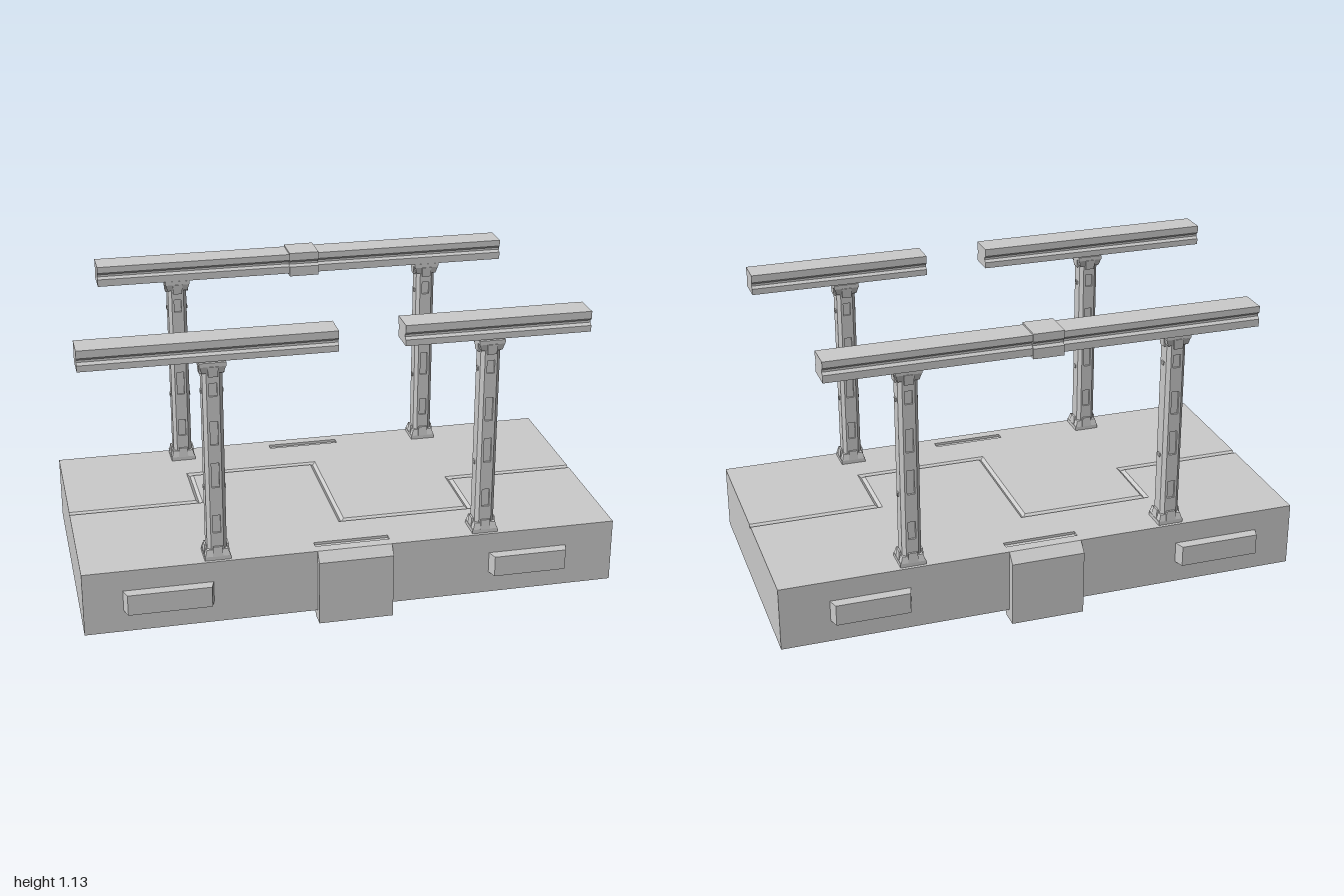
import * as THREE from 'three';

const mat = new THREE.MeshStandardMaterial({ color: 0xcccccc, flatShading: true, side: THREE.DoubleSide });
const V = (x, y) => new THREE.Vector2(x, y);

function add(parent, name, geo, x = 0, y = 0, z = 0) {
  const m = new THREE.Mesh(geo, mat);
  m.name = name;
  m.position.set(x, y, z);
  parent.add(m);
  return m;
}

const extrude = (shape, depth) => new THREE.ExtrudeGeometry(shape, { depth, bevelEnabled: false });

// plan outline given as [x, z], raised from y0 to y1
function plate(points, y0, y1, hole) {
  const toPlan = p => V(p[0], -p[1]);
  const shape = new THREE.Shape(points.map(toPlan));
  if (hole) shape.holes.push(new THREE.Path(hole.map(toPlan)));
  return extrude(shape, y1 - y0).rotateX(-Math.PI / 2).translate(0, y0, 0);
}

// side outline given as [z, y], swept from x0 to x1
function beam(points, x0, x1) {
  const shape = new THREE.Shape(points.map(p => V(-p[0], p[1])));
  return extrude(shape, x1 - x0).rotateY(Math.PI / 2).translate(x0, 0, 0);
}

// box with different top and bottom footprints
function taper(w0, d0, w1, d1, y0, y1) {
  const g = new THREE.BoxGeometry(1, y1 - y0, 1);
  const p = g.attributes.position;
  for (let i = 0; i < p.count; i++) {
    const top = p.getY(i) > 0;
    p.setX(i, p.getX(i) * (top ? w1 : w0));
    p.setZ(i, p.getZ(i) * (top ? d1 : d0));
  }
  return g.translate(0, (y0 + y1) / 2, 0);
}

// Deck: solid block, two top plates and a stepped V seam between them
const TOP = 0.285, BED = 0.275;
const SEAM = [[-1, 0], [-0.5, 0], [-0.5, -0.25], [0, -0.25], [0, 0.27], [0.5, 0.27], [0.5, 0], [1, 0]];

function offsetSeam(w) {
  const dir = i => [Math.sign(SEAM[i + 1][0] - SEAM[i][0]), Math.sign(SEAM[i + 1][1] - SEAM[i][1])];
  return SEAM.map(([x, z], i) => {
    const near = [];
    if (i > 0) near.push(dir(i - 1));
    if (i < SEAM.length - 1) near.push(dir(i));
    let nx = 0, nz = 0;
    for (const [dx, dz] of near) { nx -= dz; nz += dx; }
    return [x + nx * w, z + nz * w];
  });
}

function buildDeck() {
  const deck = new THREE.Group();
  deck.name = 'deck';
  add(deck, 'deckBlock', new THREE.BoxGeometry(2, BED - 0.04, 1), 0, (BED + 0.04) / 2, 0);
  for (const s of [1, -1]) {
    const edge = offsetSeam(0.012 * s);
    const slot = [[-0.14, 0.43 * s], [0.14, 0.43 * s], [0.14, 0.46 * s], [-0.14, 0.46 * s]];
    add(deck, s > 0 ? 'frontDeckPlate' : 'backDeckPlate',
      plate([...edge, [1, 0.5 * s], [-1, 0.5 * s]], BED, TOP, slot));
    // sloping wall of the seam
    const pos = [], idx = [];
    SEAM.forEach(([x, z], i) => {
      pos.push(edge[i][0], TOP, edge[i][1], x, BED + 0.0005, z);
      const a = i * 2;
      if (i < SEAM.length - 1) {
        idx.push(...(s > 0 ? [a, a + 2, a + 1, a + 1, a + 2, a + 3] : [a, a + 1, a + 2, a + 1, a + 3, a + 2]));
      }
    });
    const g = new THREE.BufferGeometry();
    g.setAttribute('position', new THREE.Float32BufferAttribute(pos, 3));
    g.setIndex(idx);
    g.computeVertexNormals();
    add(deck, 'seamWall', g);
  }
  // small ridge under the deck
  add(deck, 'undersideRidge', beam([[-0.255, 0.04], [-0.243, 0.03], [-0.23, 0.04]], -0.04, 0.04));
  return deck;
}

// Chamfered post profile; slotted sections have recessed front and back faces
function postSection(y0, y1, slotted) {
  const w = 0.036, d = 0.038, c = 0.013, s = 0.014, r = 0.03;
  const half = slotted
    ? [[w, c - d], [w, d - c], [w - c, d], [s, d], [s, r], [-s, r], [-s, d], [c - w, d]]
    : [[w, c - d], [w, d - c], [w - c, d], [c - w, d]];
  return plate([...half, ...half.map(([x, z]) => [-x, -z])], y0, y1);
}

function buildPost(x, z) {
  const post = new THREE.Group();
  post.name = 'post';
  post.position.set(x, 0, z);
  const cuts = [0.3, 0.39, 0.46, 0.57, 0.665, 0.735, 0.825, 0.92, 0.97, 1.04];
  for (let i = 0; i < cuts.length - 1; i++) {
    add(post, 'shaft', postSection(cuts[i], cuts[i + 1], i % 2 === 1));
  }
  // foot, and the cap as its mirror image
  for (const [name, f] of [['foot', y => y], ['cap', y => 1.335 - y]]) {
    const block = (w0, d0, w1, d1, a, b) => f(0) === 0
      ? taper(w0, d0, w1, d1, a, b) : taper(w1, d1, w0, d0, f(b), f(a));
    add(post, name + 'Plate', block(0.096, 0.096, 0.096, 0.096, 0.285, 0.3));
    add(post, name + 'Collar', block(0.092, 0.096, 0.078, 0.084, 0.3, 0.325));
    for (const s of [1, -1]) {
      add(post, name + 'Clip', block(0.038, 0.014, 0.034, 0.008, 0.3, 0.338), 0, 0, s * 0.044);
      add(post, name + 'Clip', block(0.012, 0.04, 0.007, 0.036, 0.3, 0.335), s * 0.041, 0, 0);
    }
  }
  // side studs
  for (const s of [1, -1]) {
    for (const y of [0.56, 0.93]) {
      add(post, 'stud', new THREE.BoxGeometry(0.008, 0.014, 0.016), s * 0.037, y, 0);
    }
  }
  return post;
}

// Rail profile with a V groove along each side
function railProfile(zc, hw, y0, y1) {
  const ym = 1.091, g = 0.013;
  const side = s => [[zc + s * hw, y0], [zc + s * hw, ym - g], [zc + s * (hw - 0.01), ym - 0.004],
    [zc + s * (hw - 0.01), ym + 0.004], [zc + s * hw, ym + g], [zc + s * hw, y1]];
  return [...side(1), ...side(-1).reverse()];
}

export function createModel() {
  const model = new THREE.Group();
  model.name = 'railedPlatform';
  model.add(buildDeck());

  for (const s of [1, -1]) {
    // middle bracket hooked over the deck edge
    const out = s > 0 ? 0.53 : 0.537;
    add(model, 'edgeBracket', beam([[0.5, TOP], [out, 0.25], [out, 0], [0.47, 0], [0.435, 0.04], [0.5, 0.04]]
      .map(([z, y]) => [z * s, y]), -0.14, 0.14));
    // tapered bumpers
    for (const [a, b] of [[-0.855, -0.525], [0.515, 0.815]]) {
      add(model, 'bumper', plate([[a, 0.5 * s], [b, 0.5 * s], [b - 0.012, 0.54 * s], [a + 0.012, 0.54 * s]],
        0.125, 0.205));
    }
    for (const x of [-0.505, 0.5]) model.add(buildPost(x, s * 0.44));
  }

  // rails: two short at the front, one long at the back with a joint sleeve
  const front = railProfile(0.437, 0.052, 1.055, 1.132);
  add(model, 'frontRail', beam(front, -0.97, -0.06));
  add(model, 'frontRail', beam(front, 0.18, 0.867));
  add(model, 'backRail', beam(railProfile(-0.446, 0.053, 1.05, 1.128), -0.813, 0.803));
  add(model, 'railSleeve', beam(railProfile(-0.446, 0.06, 1.04, 1.134), -0.06, 0.055));
  return model;
}
